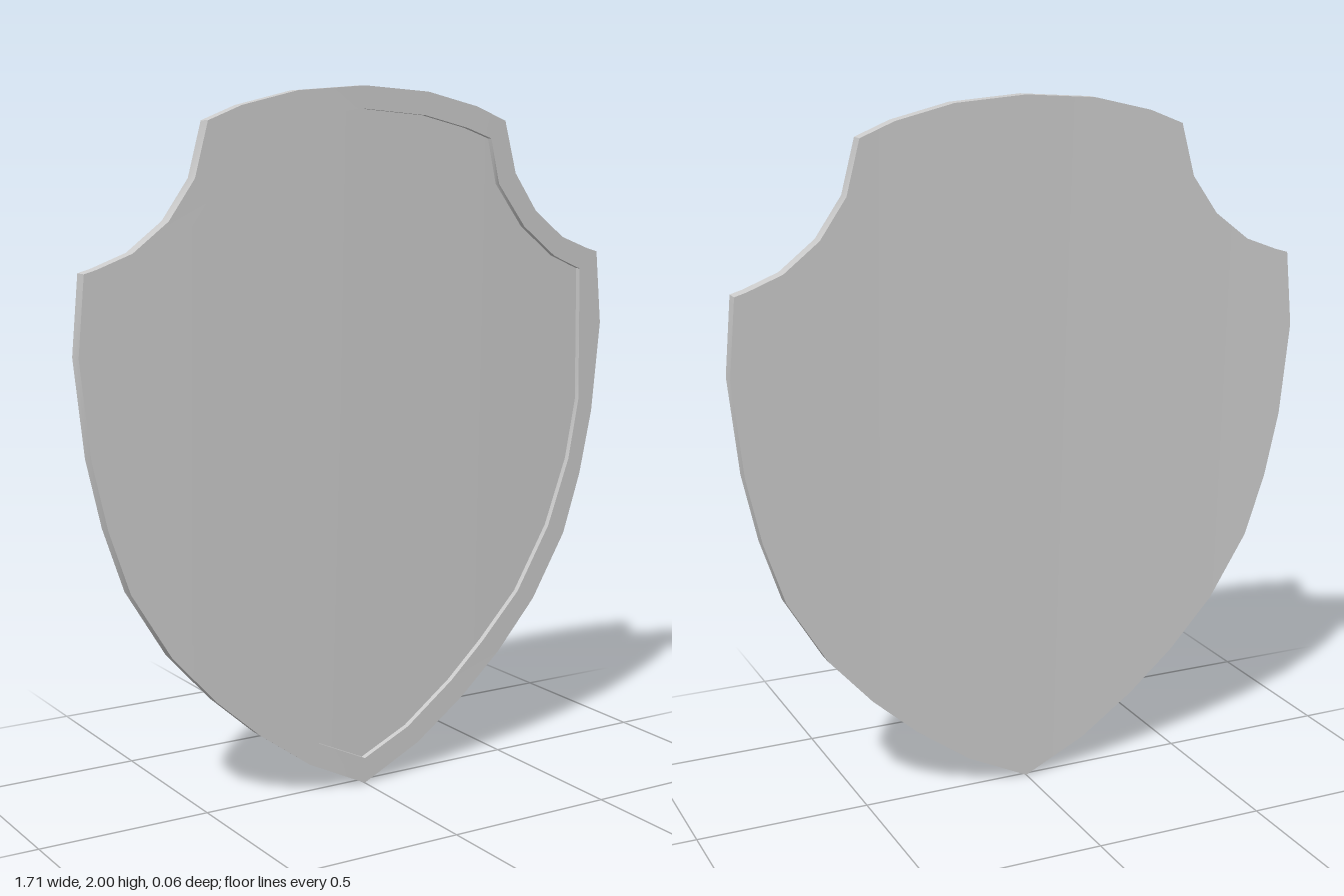
import * as THREE from 'three';
import { toCreasedNormals } from 'three/addons/utils/BufferGeometryUtils.js';

// Half outlines from top centre, round the notch and side, to the bottom tip
const OUTER = [
  [0, 2], [0.21, 1.985], [0.38, 1.945], [0.48, 1.905], [0.52, 1.755], [0.597, 1.645],
  [0.7, 1.565], [0.8, 1.527], [0.835, 1.517], [0.855, 1.3], [0.827, 1.03], [0.785, 0.84],
  [0.725, 0.66], [0.61, 0.47], [0.48, 0.325], [0.345, 0.205], [0.185, 0.09], [0, 0],
];
const INNER = [
  [0, 1.937], [0.2, 1.92], [0.345, 1.885], [0.43, 1.855], [0.46, 1.725], [0.555, 1.6],
  [0.67, 1.51], [0.745, 1.478], [0.77, 1.468], [0.772, 1.3], [0.775, 1.07], [0.74, 0.89],
  [0.665, 0.69], [0.55, 0.5], [0.42, 0.365], [0.305, 0.26], [0.15, 0.145], [0, 0.075],
];
const FRONT = 0.03, FLOOR = 0.013, BACK = -0.012, BOW = 0.018;

// Gentle backward bow towards the sides
const bend = (x, y, z) => [x, y, z - BOW * (x / 0.855) ** 2];

// Full closed loop, clockwise seen from the front
const closeLoop = (half) => [
  ...half,
  ...half.slice(1, -1).reverse().map(([x, y]) => [-x, y]),
];

// Mesh from quads, dropping collapsed triangles
function quadMesh(name, quads, material) {
  const pos = [];
  const v = (p) => new THREE.Vector3(...p);
  for (const [a, b, c, d] of quads) {
    for (const t of [[a, b, c], [a, c, d]]) {
      if (new THREE.Triangle(...t.map(v)).getArea() > 1e-8) pos.push(...t.flat());
    }
  }
  const geo = new THREE.BufferGeometry();
  geo.setAttribute('position', new THREE.Float32BufferAttribute(pos, 3));
  const mesh = new THREE.Mesh(toCreasedNormals(geo, 0.5), material);
  mesh.name = name;
  return mesh;
}

// Band between two matching loops
function band(a, za, b, zb) {
  return a.map((p, i) => {
    const j = (i + 1) % a.length;
    return [bend(...p, za), bend(...b[i], zb), bend(...b[j], zb), bend(...a[j], za)];
  });
}

// Height of a chain with rising x
function heightAt(chain, x) {
  const i = Math.max(1, chain.findIndex((p) => p[0] >= x));
  const [x0, y0] = chain[i - 1], [x1, y1] = chain[i];
  return y0 + ((y1 - y0) * (x - x0)) / (x1 - x0);
}

// Bowed face filled with upright columns
function face(half, z, facingBack) {
  const tip = half.reduce((m, p, i) => (p[0] > half[m][0] ? i : m), 0);
  const upper = half.slice(0, tip + 1), lower = half.slice(tip).reverse();
  const steps = [...new Set(half.map((p) => p[0]))].sort((a, b) => a - b);
  const xs = [...steps.slice(1).reverse().map((x) => -x), ...steps];
  const quads = [];
  for (let i = 0; i < xs.length - 1; i++) {
    const [l, r] = [xs[i], xs[i + 1]];
    const at = (chain, x) => bend(x, heightAt(chain, Math.abs(x)), z);
    const q = [at(lower, l), at(lower, r), at(upper, r), at(upper, l)];
    quads.push(facingBack ? q.reverse() : q);
  }
  return quads;
}

export function createModel() {
  const group = new THREE.Group();
  group.name = 'shield';
  const material = new THREE.MeshStandardMaterial({ color: 0xcccccc });
  const outer = closeLoop(OUTER), inner = closeLoop(INNER);

  group.add(
    // Raised border and its walls
    quadMesh('rimFront', band(outer, FRONT, inner, FRONT), material),
    quadMesh('rimInnerWall', band(inner, FRONT, inner, FLOOR), material),
    quadMesh('outerEdge', band(outer, BACK, outer, FRONT), material),
    // Recessed front and plain back
    quadMesh('frontPanel', face(INNER, FLOOR, false), material),
    quadMesh('backPanel', face(OUTER, BACK, true), material),
  );
  return group;
}
